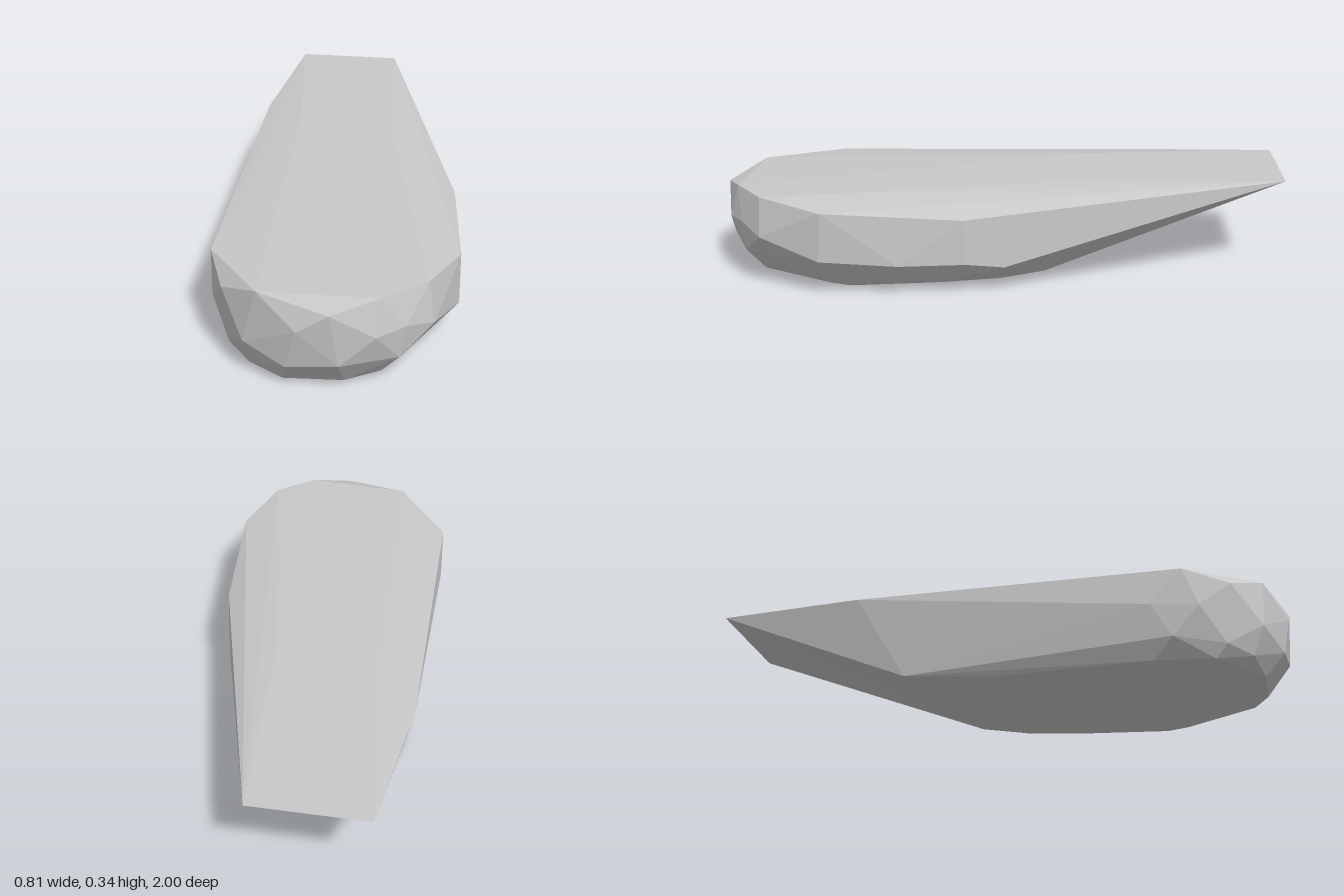
import * as THREE from 'three';
import { ConvexGeometry } from 'three/addons/geometries/ConvexGeometry.js';

// Faceted stone wedge: the convex hull of stacked outlines, each point [x, y, z].
// Nearly flat top, tapering back to a straight thin edge
const top = [
  [-0.345, 0.34, -1], [0.045, 0.338, -1], [-0.405, 0.318, -0.47],
  [-0.25, 0.343, -0.3], [0.1, 0.343, -0.25],
  [-0.385, 0.305, 0.66], [-0.32, 0.265, 0.815], [-0.19, 0.322, 0.92],
  [0.04, 0.303, 1], [0.185, 0.333, 0.93], [0.32, 0.333, 0.82],
  [0.405, 0.307, 0.6], [0.362, 0.278, 0.12],
];

// Rounded nose and flank
const middle = [
  [-0.395, 0.18, 0.55], [-0.375, 0.17, 0.71], [-0.24, 0.137, 0.91], [-0.06, 0.235, 0.995],
  [-0.1, 0.093, 0.97], [0.065, 0.118, 0.985], [0.175, 0.215, 0.965],
  [0.26, 0.225, 0.905], [0.24, 0.11, 0.9], [0.34, 0.195, 0.825],
  [0.405, 0.133, 0.61], [0.397, 0.12, 0.34], [0.365, 0.12, 0.11], [0.33, 0.1, -0.02],
];

// Chamfer and flat underside
const bottom = [
  [-0.375, 0.065, 0.62], [-0.31, 0.05, 0.79], [-0.23, 0.033, 0.87],
  [-0.12, 0.002, 0.9], [0.07, 0.01, 0.9], [0.18, 0.02, 0.85],
  [0.305, 0.01, 0.52], [0.26, 0, 0.6], [0.305, 0.03, 0.2], [0.23, 0.02, 0],
  [0.14, 0.015, -0.15], [-0.05, 0, -0.1], [-0.135, 0.05, -0.38],
  [-0.36, 0.025, -0.3], [-0.34, 0, 0], [-0.34, 0, 0.55], [-0.3, 0.003, 0.75],
];

export function createModel() {
  const group = new THREE.Group();
  group.name = 'stoneWedge';
  const stone = new THREE.MeshStandardMaterial({ color: 0xc8c8c8 });
  stone.name = 'stone grey';
  stone.flatShading = true;

  const points = [...top, ...middle, ...bottom].map((p) => new THREE.Vector3(...p));
  const body = new THREE.Mesh(new ConvexGeometry(points), stone);
  body.name = 'stoneBody';
  group.add(body);
  return group;
}
